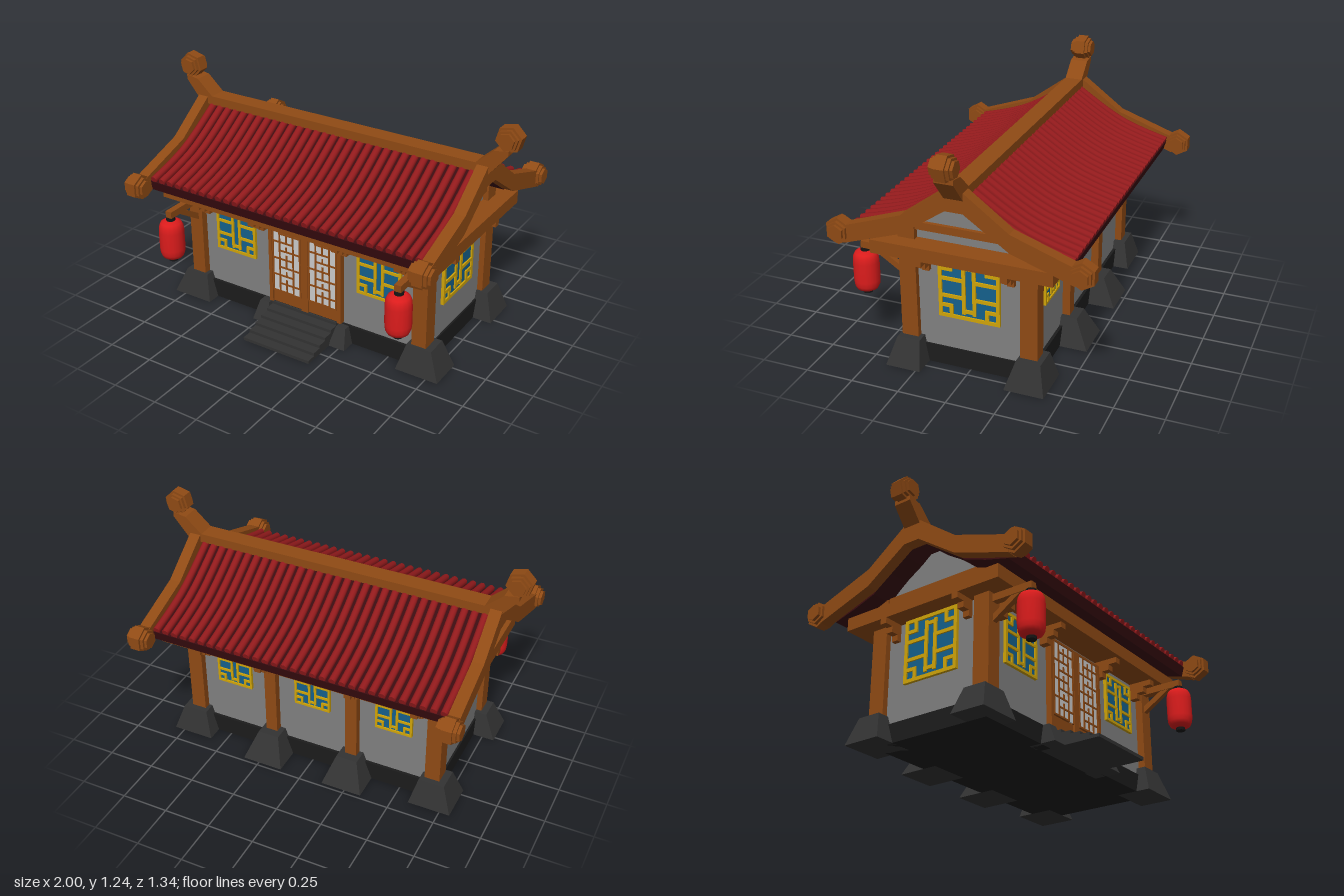
import * as THREE from 'three';

const paint = (color, flatShading = true) => new THREE.MeshStandardMaterial({ color, flatShading });
const wood = paint(0x8f4a14), wall = paint(0x808080), stone = paint(0x333333), plinth = paint(0x1c1c1c);
const tileRed = paint(0x931a1c, false), roofDark = paint(0x3a0c10), gold = paint(0xd0a408), glass = paint(0x14608c);
const paper = paint(0xcccccc), lampRed = paint(0xdc1c1c, false), black = paint(0x151515);

function add(parent, name, geo, mat, x = 0, y = 0, z = 0) {
  const m = new THREE.Mesh(geo, mat);
  m.name = name;
  m.position.set(x, y, z);
  parent.add(m);
  return m;
}
// box given by its min and max corners
function box(parent, name, mat, [x0, y0, z0], [x1, y1, z1]) {
  return add(parent, name, new THREE.BoxGeometry(x1 - x0, y1 - y0, z1 - z0), mat,
    (x0 + x1) / 2, (y0 + y1) / 2, (z0 + z1) / 2);
}
function group(parent, name, x = 0, y = 0, z = 0, ry = 0) {
  const g = new THREE.Group();
  g.name = name;
  g.position.set(x, y, z);
  g.rotation.y = ry;
  parent.add(g);
  return g;
}
// outline in x,y extruded along z, centred
function prism(points, depth) {
  const shape = new THREE.Shape(points.map(([x, y]) => new THREE.Vector2(x, y)));
  return new THREE.ExtrudeGeometry(shape, { depth, bevelEnabled: false }).translate(0, 0, -depth / 2);
}
// outline in z,y extruded along x
const sidePrism = (points, width) => prism(points, width).rotateY(-Math.PI / 2);
// right half outline closed with its mirror image
const mirrored = (half) => [...half, ...half.map(([x, y]) => [-x, y]).reverse()];

// tapered foot stone: base and top rectangles [x0, x1, z0, z1]
function footStone(parent, base, top, h) {
  const g = new THREE.BoxGeometry(1, h, 1), p = g.attributes.position;
  for (let i = 0; i < p.count; i++) {
    const r = p.getY(i) > 0 ? top : base;
    p.setXYZ(i, p.getX(i) > 0 ? r[1] : r[0], p.getY(i) > 0 ? h : 0, p.getZ(i) > 0 ? r[3] : r[2]);
  }
  g.computeVertexNormals();
  add(parent, 'footStone', g, stone);
}

// lattice bars listed as [x0, y0, x1, y1] in -1..1 of the panel
function lattice(parent, w, h, t, z, mat, bars) {
  for (const [x0, y0, x1, y1] of bars) {
    add(parent, 'latticeBar', new THREE.BoxGeometry((x1 - x0) * w / 2 + t, (y1 - y0) * h / 2 + t, 0.016),
      mat, (x0 + x1) * w / 4, (y0 + y1) * h / 4, z);
  }
}

function windowPanel(parent, w, h, x, y, z, ry) {
  const g = group(parent, 'window', x, y, z, ry);
  const t = w * 0.058, iw = w - t, ih = h - t;
  add(g, 'windowGlass', new THREE.BoxGeometry(w - t, h - t, 0.012), glass);
  const span = (a, b) => [Math.min(a, b), Math.max(a, b)];
  const bars = [[-1, -1, 1, -1], [-1, 1, 1, 1], [-1, -1, -1, 1], [1, -1, 1, 1]];
  for (const s of [-1, 1]) {
    bars.push([s * 0.18, -0.8, s * 0.18, 0.8], [-0.18, s * 0.75, 0.18, s * 0.75]);
    for (const q of [-1, 1]) {
      const [a, b] = span(s, s * 0.18), [c, d] = span(s, s * 0.62), [e, f] = span(q, q * 0.64);
      bars.push([a, q * 0.3, b, q * 0.3], [c, q * 0.64, d, q * 0.64], [s * 0.62, e, s * 0.62, f]);
    }
  }
  lattice(g, iw, ih, t, 0.006, gold, bars);
}

function doorLeaf(parent, x) {
  const g = group(parent, 'doorLeaf', x, 0.345, 0.325);
  box(g, 'doorBoard', wood, [-0.11, -0.24, -0.01], [0.11, 0.235, 0.014]);
  const p = group(g, 'doorScreen', 0, 0.032, 0.018);
  add(p, 'doorPaper', new THREE.BoxGeometry(0.165, 0.39, 0.008), paper);
  const bars = [[-1, -1, -1, 1], [1, -1, 1, 1], [-0.5, -1, -0.5, 1], [0.5, -1, 0.5, 1]];
  for (let i = 0; i <= 8; i++) {
    const y = -1 + i / 4;
    bars.push(i % 2 ? [-0.5, y, 1, y] : [-1, y, 0.5, y]);
    if (i < 8) bars.push([0, y, 0, y + (i % 3 ? 0.12 : 0.25)]);
  }
  lattice(p, 0.165, 0.39, 0.009, 0, wood, bars);
  box(g, 'doorStile', wood, [-0.11, -0.24, 0], [-0.09, 0.235, 0.026]);
  box(g, 'doorStile', wood, [0.09, -0.24, 0], [0.11, 0.235, 0.026]);
  box(g, 'doorRail', wood, [-0.11, 0.222, 0], [0.11, 0.235, 0.026]);
}

// stepped bracket reaching out along local +z
function bracket(parent, x, z, ry) {
  const g = group(parent, 'bracket', x, 0, z, ry);
  [[0.58, 0.615, 0.125], [0.55, 0.58, 0.08], [0.52, 0.55, 0.04]].forEach(([y0, y1, d]) =>
    box(g, 'bracketStep', wood, [-0.018, y0, -0.02], [0.018, y1, d]));
}

// layered hexagonal finial with its axis along x
function finial(parent, x, y, z, ry, turn) {
  const g = group(parent, 'finial', x, y, z, ry);
  for (const [r, len] of [[0.069, 0.054], [0.056, 0.088], [0.043, 0.117]]) {
    add(g, 'finialHex', new THREE.CylinderGeometry(r, r, len, 6).rotateY(turn).rotateZ(Math.PI / 2), wood);
  }
}

function lantern(parent, x) {
  const g = group(parent, 'lantern', x, 0, 0.565);
  const profile = [[0, 0.33], [0.035, 0.331], [0.054, 0.342], [0.063, 0.362], [0.066, 0.39],
    [0.066, 0.49], [0.063, 0.518], [0.054, 0.538], [0.035, 0.549], [0, 0.55]].map(([r, y]) => new THREE.Vector2(r, y));
  add(g, 'lanternBody', new THREE.LatheGeometry(profile, 16), lampRed);
  for (const y of [0.325, 0.556]) add(g, 'lanternCap', new THREE.CylinderGeometry(0.024, 0.024, 0.02, 12), black, 0, y);
  const arm = group(parent, 'lanternArm', x);
  box(arm, 'armBeam', wood, [-0.018, 0.565, 0.33], [0.018, 0.602, 0.58]);
  add(arm, 'armBrace', sidePrism([[0.34, 0.475], [0.36, 0.465], [0.52, 0.57], [0.47, 0.57], [0.34, 0.49]], 0.028), wood);
}

export function createModel() {
  const model = new THREE.Group();
  model.name = 'tileRoofHouse';

  // plinth, steps and foot stones
  box(model, 'plinth', plinth, [-0.7, 0, -0.335], [0.7, 0.1, 0.335]);
  for (let i = 0; i < 6; i++) {
    box(model, 'step', stone, [-0.205, i / 60, 0.28], [0.195, (i + 1) / 60, 0.605 - i * 0.052]);
  }
  for (const s of [-1, 1]) {
    const rect = (a, b, c, d) => s > 0 ? [a, b, c, d] : [-b, -a, c, d];
    footStone(model, rect(0.58, 0.815, 0.225, 0.41), rect(0.62, 0.755, 0.25, 0.37), 0.14);
    footStone(model, rect(0.58, 0.805, -0.42, -0.215), rect(0.62, 0.755, -0.385, -0.26), 0.145);
    footStone(model, rect(0.12, 0.34, -0.48, -0.26), rect(0.17, 0.285, -0.405, -0.28), 0.145);
    footStone(model, rect(0.19, 0.285, 0.27, 0.415), rect(0.21, 0.265, 0.28, 0.37), 0.1);
  }

  // walls with gables, posts and eave platform
  add(model, 'walls', sidePrism(mirrored([[0.32, 0.08], [0.32, 0.752], [0.27, 0.775], [0.04, 0.95]]), 1.38), wall);
  for (const s of [-1, 1]) {
    for (const z of [-0.313, 0.315]) {
      box(model, 'cornerPost', wood, [s * 0.68 - 0.04, 0.08, z - 0.044], [s * 0.68 + 0.04, 0.76, z + 0.044]);
    }
    box(model, 'backPost', wood, [s * 0.23 - 0.032, 0.08, -0.36], [s * 0.23 + 0.032, 0.62, -0.28]);
    box(model, 'gableBeam', wood, [s * 0.68 - 0.03, 0.73, -0.28], [s * 0.68 + 0.03, 0.77, 0.28]);
  }
  box(model, 'eavePlatform', wood, [-0.8, 0.61, -0.46], [0.8, 0.68, 0.47]);

  // brackets under the platform
  for (const x of [-0.6, -0.25, 0.25, 0.6]) {
    bracket(model, x, 0.325, 0);
    bracket(model, x, -0.325, Math.PI);
  }
  for (const s of [-1, 1]) {
    for (const z of [-0.22, 0.22]) bracket(model, s * 0.675, z, s * Math.PI / 2);
  }

  // doors and windows
  doorLeaf(model, -0.105);
  doorLeaf(model, 0.115);
  for (const s of [-1, 1]) {
    windowPanel(model, 0.25, 0.265, s * 0.435, 0.448, 0.323, 0);
    windowPanel(model, 0.32, 0.33, s * 0.693, 0.445, 0, s * Math.PI / 2);
  }
  for (const x of [-0.453, 0, 0.453]) windowPanel(model, 0.2, 0.22, x, 0.465, -0.323, Math.PI);

  // lanterns
  for (const s of [-1, 1]) lantern(model, s * 0.677);

  // roof deck and tile rows following the curved slope
  const roof = group(model, 'roof', -0.01);
  const slope = [[0, 1.005], [0.1, 0.939], [0.2, 0.876], [0.3, 0.823], [0.42, 0.78], [0.55, 0.744]];
  const deckTop = slope.map(([z, y]) => [z, y - 0.012]);
  const deckLow = slope.map(([z, y], i) => [Math.max(z - 0.015, 0), y - (i < 3 ? 0.034 : 0.066)]).reverse();
  const deck = [...deckTop, ...deckLow];
  const curve = new THREE.CatmullRomCurve3(slope.map(([z, y]) => new THREE.Vector3(0, y, z)));
  const tile = new THREE.TubeGeometry(curve, 10, 0.0185, 10);
  const cap = new THREE.CircleGeometry(0.0185, 10);
  for (const ry of [0, Math.PI]) {
    const side = group(roof, 'roofSlope', 0, 0, 0, ry);
    add(side, 'roofDeck', sidePrism(deck, 1.6), roofDark);
    for (let i = 0; i < 31; i++) {
      const x = (i - 15) * 0.0517;
      add(side, 'tileRow', tile, tileRed, x);
      add(side, 'tileEnd', cap, tileRed, x, 0.744, 0.55).rotation.x = 0.27;
    }
  }

  // ridge beam with upturned ends
  const ridge = mirrored([[0.782, 1.037], [0.872, 1.118], [0.945, 1.13], [0.945, 1.105], [0.85, 0.99]]);
  add(model, 'ridgeBeam', prism(ridge, 0.096), wood);

  // bargeboards and finials
  const barge = mirrored([[0.04, 1.035], [0.27, 0.865], [0.58, 0.757], [0.58, 0.665], [0.27, 0.77], [0.045, 0.925]]);
  for (const s of [-1, 1]) {
    add(roof, 'bargeboard', sidePrism(barge, 0.06), wood, s * 0.83);
    finial(model, s * 0.932, 1.178, 0, Math.PI / 2, s * 0.25);
    for (const z of [-0.61, 0.61]) finial(roof, s * 0.83, 0.72, z, 0, Math.PI / 6);
  }
  return model;
}
